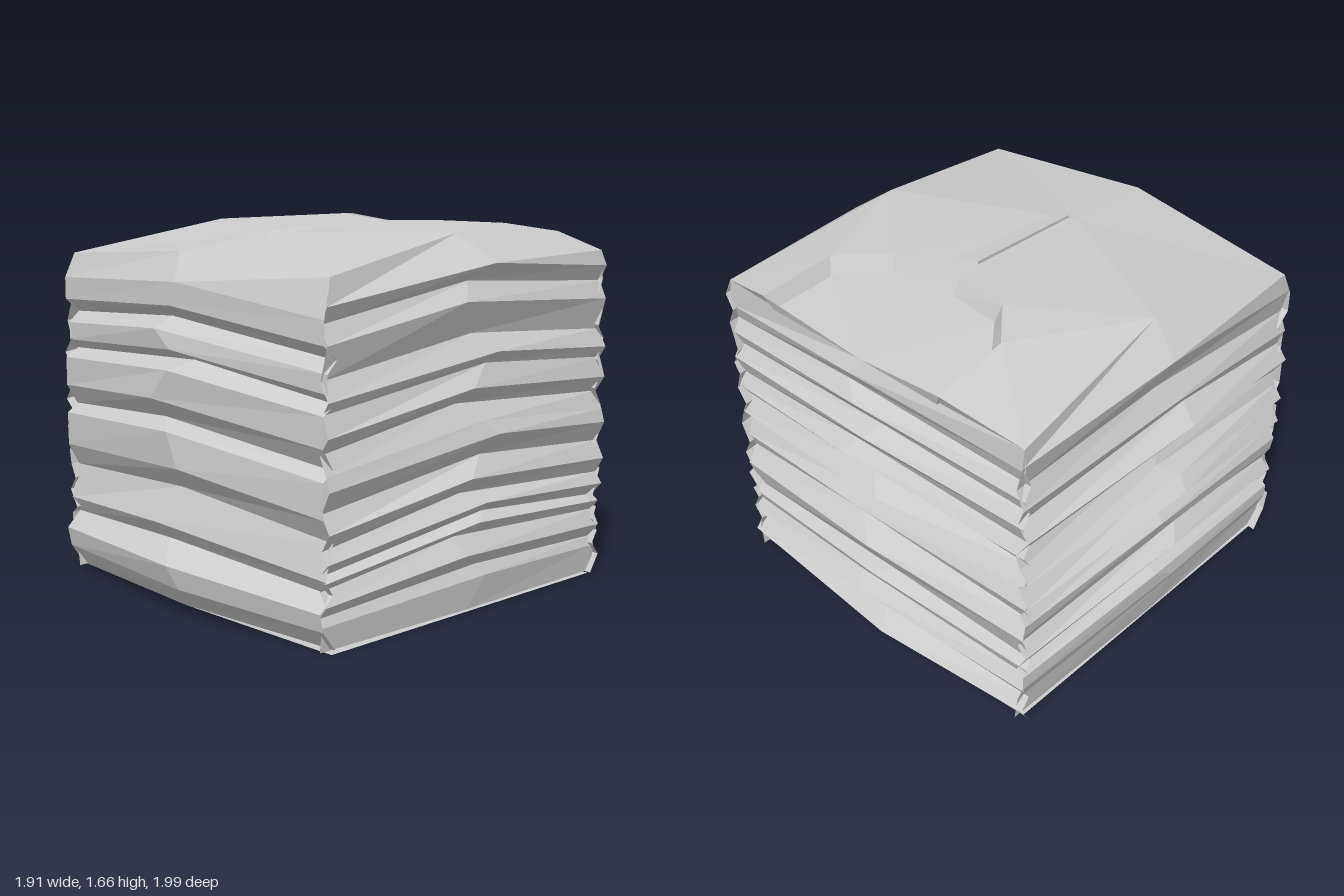
import * as THREE from 'three';

const material = new THREE.MeshStandardMaterial({ color: 0xcccccc, flatShading: true, side: THREE.DoubleSide });

// Mesh from a few points and polygons (each polygon is split as a fan)
function facets(name, points, polygons) {
  const index = [];
  for (const p of polygons)
    for (let i = 1; i < p.length - 1; i++) index.push(p[0], p[i], p[i + 1]);
  const geometry = new THREE.BufferGeometry();
  geometry.setAttribute('position', new THREE.Float32BufferAttribute(points.flat(), 3));
  geometry.setIndex(index);
  const flat = geometry.toNonIndexed();
  flat.computeVertexNormals();
  const mesh = new THREE.Mesh(flat, material);
  mesh.name = name;
  return mesh;
}

// One pleated side of the stack. Each row is [height, depth] of a crease at mid-side;
// creases sag and recede towards the two corners.
function pleats(name, { rows, ends, drops, bulge, place, top }) {
  const mean = rows.reduce((s, r) => s + r[1], 0) / rows.length;
  const points = [], quads = [];
  rows.forEach(([y, d], i) => {
    const sag = Math.min(1, y / 0.45);
    const corner = mean - bulge + 0.6 * (d - mean);
    points.push(place(ends[0], y - drops[0] * sag, corner));
    points.push(place(0.1 * Math.sin(i * 1.3), y, d));
    points.push(place(ends[1], y - drops[1] * sag, corner));
  });
  points.push(...top);
  for (let i = 0; i < rows.length; i++)
    for (let j = 0; j < 2; j++) {
      const a = i * 3 + j;
      quads.push([a, a + 1, a + 4, a + 3]);
    }
  return facets(name, points, quads);
}

export function createModel() {
  const group = new THREE.Group();
  group.name = 'foldedShirtStack';

  // Corners of the top garment
  const frontL = [0.85, 1.5, 0.8], frontR = [-0.86, 1.5, 0.8], frontMid = [0.03, 1.56, 0.88];
  const sideL = [0.77, 1.63, 0], sideR = [-0.77, 1.63, 0];
  const backL = [0.86, 1.52, -0.88], backR = [-0.86, 1.52, -0.88], backMid = [0, 1.54, -0.92];

  // Folded edges on the four sides
  group.add(pleats('frontFolds', {
    rows: [[0.03, 0.86], [0.14, 0.97], [0.24, 1], [0.32, 0.88], [0.4, 0.95], [0.56, 0.88],
      [0.66, 0.97], [0.81, 0.97], [0.85, 0.88], [0.94, 0.97], [1.07, 0.97], [1.11, 0.86],
      [1.15, 0.93], [1.23, 0.93], [1.28, 0.85], [1.34, 0.96], [1.44, 0.96]],
    ends: [-0.87, 0.87], drops: [0.05, 0.1], bulge: 0.1,
    place: (u, y, d) => [u, y, d], top: [frontR, frontMid, frontL],
  }));
  group.add(pleats('leftFolds', {
    rows: [[0.02, 0.86], [0.16, 0.88], [0.21, 0.85], [0.28, 0.92], [0.36, 0.86], [0.41, 0.91],
      [0.44, 0.85], [0.5, 0.94], [0.55, 0.88], [0.62, 0.95], [0.7, 0.88], [0.79, 0.95],
      [0.85, 0.92], [0.93, 0.86], [1, 0.94], [1.09, 0.89], [1.14, 0.94], [1.22, 0.87],
      [1.36, 0.93], [1.44, 0.87], [1.51, 0.93]],
    ends: [-0.84, 0.9], drops: [0.12, 0.06], bulge: 0.04,
    place: (u, y, d) => [d, y, -u], top: [frontL, sideL, backL],
  }));
  group.add(pleats('backFolds', {
    rows: [[0.02, 0.9], [0.12, 0.99], [0.19, 0.91], [0.26, 0.97], [0.33, 0.91], [0.4, 0.95],
      [0.44, 0.89], [0.59, 0.98], [0.67, 0.89], [0.75, 0.95], [0.83, 0.89], [0.89, 0.97],
      [0.97, 0.89], [1.04, 0.97], [1.1, 0.91], [1.2, 0.98], [1.26, 0.91], [1.33, 0.96],
      [1.39, 0.9], [1.47, 0.95]],
    ends: [-0.87, 0.87], drops: [0.08, 0.06], bulge: 0.06,
    place: (u, y, d) => [-u, y, -d], top: [backL, backMid, backR],
  }));
  group.add(pleats('rightFolds', {
    rows: [[0.04, 0.84], [0.19, 0.87], [0.28, 0.92], [0.36, 0.92], [0.4, 0.86], [0.49, 0.94],
      [0.55, 0.87], [0.61, 0.92], [0.68, 0.94], [0.73, 0.89], [0.79, 0.96], [0.87, 0.87],
      [0.92, 0.96], [0.98, 0.89], [1.04, 0.85], [1.14, 0.96], [1.21, 0.87], [1.29, 0.92],
      [1.38, 0.86], [1.5, 0.91]],
    ends: [-0.9, 0.84], drops: [0.06, 0.1], bulge: 0.04,
    place: (u, y, d) => [-d, y, u], top: [backR, sideR, frontR],
  }));

  // Inner core closes the gaps behind the corner creases
  const core = new THREE.Mesh(new THREE.BoxGeometry(1.6, 1.36, 1.6), material);
  core.name = 'innerCore';
  core.position.set(0, 0.74, -0.05);
  group.add(core);

  // Underside
  group.add(facets('underside',
    [[-0.84, 0.03, 0.79], [-0.84, 0.03, -0.86], [0, 0.02, -0.9], [0.85, 0.01, -0.86],
      [0.85, 0, 0.79], [0, 0.03, 0.86]], [[0, 1, 2, 3, 4, 5]]));

  // Neckline rim, with the recess floor just inside and below it
  const neck = [[-0.46, 1.59, -0.93], [-0.45, 1.65, -0.57], [-0.28, 1.66, -0.38], [0, 1.64, -0.35],
    [0.33, 1.65, -0.4], [0.54, 1.64, -0.58], [0.57, 1.59, -0.93]];
  const floor = neck.map(([x, , z], i) => [
    x * 0.94, 1.58 - 0.1 * Math.max(0, -z - 0.4), i % 6 ? z - 0.03 : z + 0.02]);
  const centre = [0, 1.61, 0.4];

  // Top surface: 0-6 neck, 7 backR, 8 sideR, 9 frontR, 10 frontMid, 11 frontL, 12 sideL, 13 backL, 14 centre
  group.add(facets('topSurface',
    [...neck, backR, sideR, frontR, frontMid, frontL, sideL, backL, centre],
    [[0, 7, 1], [7, 8, 1], [8, 2, 1], [8, 14, 2], [8, 9, 14], [9, 10, 14], [10, 11, 14],
      [11, 12, 14], [12, 4, 14], [14, 4, 3], [14, 3, 2], [12, 5, 4], [12, 13, 5], [13, 6, 5]]));

  // Neck recess: walls, floor and the cut ends of the shoulders
  const walls = [0, 1, 2, 3, 4, 5].map(i => [i, i + 1, i + 8, i + 7]);
  group.add(facets('neckRecess', [...neck, ...floor, backMid, backR, backL],
    [...walls, [14, 7, 8, 9, 10, 11, 12, 13], [0, 7, 14, 15], [6, 16, 14, 13]]));

  // Front opening with a slightly raised overlapping edge
  group.add(facets('frontPlacket',
    [[0.03, 1.65, -0.2], [0.03, 1.625, 0.38], [0.1, 1.615, 0.35], [0.13, 1.64, -0.23],
      [0.03, 1.6, 0.4], [0.03, 1.62, -0.2]],
    [[0, 1, 2, 3], [0, 5, 4, 1], [1, 4, 2]]));

  return group;
}
